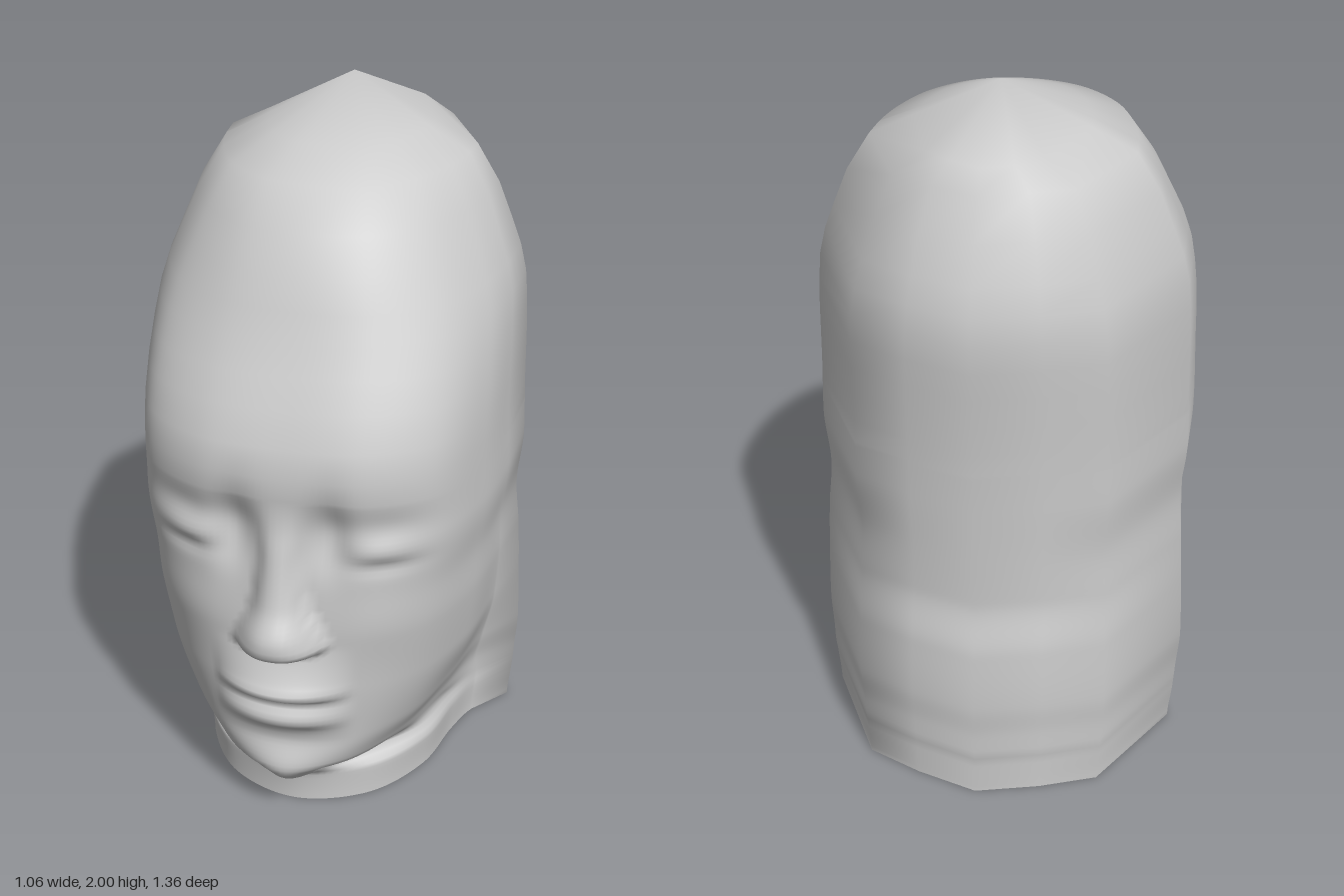
import * as THREE from 'three';

// Size of each horizontal section: [y, half width, front z, back z]
const SECTIONS = [
  [0.00, 0.505, 0.45, -0.67],
  [0.10, 0.515, 0.46, -0.67],
  [0.14, 0.518, 0.55, -0.675],
  [0.20, 0.522, 0.59, -0.675],
  [0.30, 0.53, 0.565, -0.68],
  [0.48, 0.525, 0.575, -0.67],
  [0.64, 0.518, 0.575, -0.64],
  [0.78, 0.507, 0.57, -0.642],
  [0.95, 0.522, 0.571, -0.645],
  [1.13, 0.517, 0.588, -0.652],
  [1.30, 0.515, 0.53, -0.663],
  [1.46, 0.505, 0.45, -0.672],
  [1.61, 0.46, 0.385, -0.64],
  [1.82, 0.355, 0.24, -0.545],
  [1.88, 0.235, 0.09, -0.51],
];
// Shape of the front half, from beside the centre to the widest point:
// [y, then five pairs of x and z as shares of the section's size]
const FRONTS = [
  [0.00, 0.40, 0.88, 0.65, 0.60, 0.74, 0.30, 0.82, 0.12, 1, -0.06],
  [0.10, 0.40, 0.87, 0.65, 0.60, 0.74, 0.30, 0.82, 0.12, 1, -0.05],
  [0.14, 0.30, 0.77, 0.60, 0.53, 0.72, 0.26, 0.82, 0.10, 1, -0.05],
  [0.20, 0.30, 0.90, 0.54, 0.66, 0.69, 0.37, 0.81, 0.11, 1, -0.04],
  [0.30, 0.35, 0.94, 0.60, 0.74, 0.74, 0.44, 0.84, 0.14, 1, -0.03],
  [0.48, 0.38, 0.95, 0.67, 0.78, 0.85, 0.50, 0.92, 0.18, 1, -0.03],
  [0.90, 0.43, 0.97, 0.77, 0.82, 0.94, 0.54, 0.99, 0.25, 1, -0.02],
  [1.20, 0.43, 0.97, 0.77, 0.82, 0.94, 0.54, 0.99, 0.25, 1, -0.02],
  [1.85, 0.40, 0.93, 0.72, 0.71, 0.90, 0.42, 0.98, 0.15, 1, -0.03],
];
// Back of the head, as the same shares
const BACK = [[0.66, -0.75], [0.35, -0.89], [0, -1], [-0.35, -0.89], [-0.66, -0.75]];
const MID_Z = -0.2;

// Nose: [y, height over the face, half width]
const NOSE = [
  [0.57, 0, 0.09], [0.60, 0.04, 0.12], [0.62, 0.105, 0.135], [0.66, 0.108, 0.12],
  [0.75, 0.07, 0.08], [0.90, 0.035, 0.06], [1.08, 0, 0.07],
];
// Lips: [y, height over the face]
const LIPS = [
  [0.28, 0], [0.33, 0.012], [0.38, 0.05], [0.41, 0.04], [0.43, 0.022],
  [0.47, 0.065], [0.50, 0.045], [0.54, 0.025], [0.58, 0.01], [0.62, 0],
];
// Soft dents and swellings, mirrored: [x, y, x spread, y spread, depth]
const BUMPS = [
  [0.13, 0.95, 0.06, 0.11, -0.042],  // inner eye socket
  [0.28, 0.99, 0.11, 0.05, -0.010],  // fold above the lid
  [0.28, 0.92, 0.08, 0.04, 0.015],   // closed eyelid
  [0.28, 0.87, 0.08, 0.024, -0.012], // lash line
  [0.27, 0.70, 0.10, 0.12, 0.010],   // cheek
];

// Smooth lookup, without overshoot, in a table keyed by its first column
function sample(table, y) {
  const last = table.length - 1;
  if (y <= table[0][0]) return table[0];
  if (y >= table[last][0]) return table[last];
  const i = table.findIndex((row) => row[0] > y);
  const slope = (j, k) => (table[j + 1][k] - table[j][k]) / (table[j + 1][0] - table[j][0]);
  const tangent = (j, k) => {
    if (j === 0 || j === last) return 0;
    const a = slope(j - 1, k), b = slope(j, k);
    return a * b > 0 ? 2 * a * b / (a + b) : 0;
  };
  const h = table[i][0] - table[i - 1][0];
  const t = (y - table[i - 1][0]) / h;
  const rise = t * t * (3 - 2 * t);
  return table[i].map((v, k) => {
    const from = table[i - 1][k];
    return from + (v - from) * rise
      + h * t * (1 - t) * ((1 - t) * tangent(i - 1, k) - t * tangent(i, k));
  });
}

// Facial relief added along z
function relief(x, y) {
  const ax = Math.abs(x);
  const [, noseHeight, noseWidth] = sample(NOSE, y);
  const [, lipHeight] = sample(LIPS, y);
  const noseFall = Math.max(0, 1 - (ax / noseWidth) ** 2.4);
  const lipFall = Math.max(0, 1 - (ax / 0.2) ** 2);
  let d = Math.max(noseHeight * noseFall, lipHeight * lipFall);
  for (const [bx, by, sx, sy, depth] of BUMPS) {
    d += depth * Math.exp(-(((ax - bx) / sx) ** 2) - ((y - by) / sy) ** 2);
  }
  return d;
}

// One closed section: fine over the face, broad facets over the sides and back
function ring(y) {
  const [, w, front, back] = sample(SECTIONS, y);
  const shape = sample(FRONTS, y);
  const half = [];
  for (let k = 1; k < shape.length; k += 2) {
    half.push(new THREE.Vector3(shape[k] * w, y, MID_Z + shape[k + 1] * (front - MID_Z)));
  }
  const mirrored = half.map((p) => new THREE.Vector3(-p.x, y, p.z)).reverse();
  const centre = new THREE.Vector3(0, y, front);
  const points = new THREE.CatmullRomCurve3([...mirrored, centre, ...half])
    .getPoints(120)
    .filter((p, i) => i % 12 === 0 || (i > 12 && i < 108));
  for (const p of points) {
    if (p.z > 0 && y < 1.4) p.z += relief(p.x, y) * Math.min(1, p.z * 4);
  }
  for (const [u, v] of BACK) {
    points.push(new THREE.Vector3(u * w, y, MID_Z - v * (back - MID_Z)));
  }
  return points;
}

function headGeometry() {
  const levels = [];
  for (let k = 0; k <= 71; k++) levels.push(k * 0.015);
  levels.push(1.13, 1.21, 1.3, 1.38, 1.46, 1.535, 1.61, 1.715, 1.82, 1.88);

  const rings = levels.map(ring);
  const size = rings[0].length;
  const points = rings.flat();
  const apex = points.push(new THREE.Vector3(0, 2, -0.22)) - 1;
  const index = [];
  for (let j = 0; j < levels.length; j++) {
    for (let i = 0; i < size; i++) {
      const a = j * size + i, b = j * size + (i + 1) % size;
      if (j === levels.length - 1) index.push(a, b, apex);
      else index.push(a, b, b + size, a, b + size, a + size);
    }
  }
  const geometry = new THREE.BufferGeometry().setFromPoints(points);
  geometry.setIndex(index);
  geometry.computeVertexNormals();
  return geometry;
}

export function createModel() {
  const group = new THREE.Group();
  group.name = 'headBust';
  // Hollow shell, open under the neck
  const material = new THREE.MeshStandardMaterial({ color: 0xcccccc, side: THREE.DoubleSide });
  const head = new THREE.Mesh(headGeometry(), material);
  head.name = 'head';
  group.add(head);
  return group;
}
